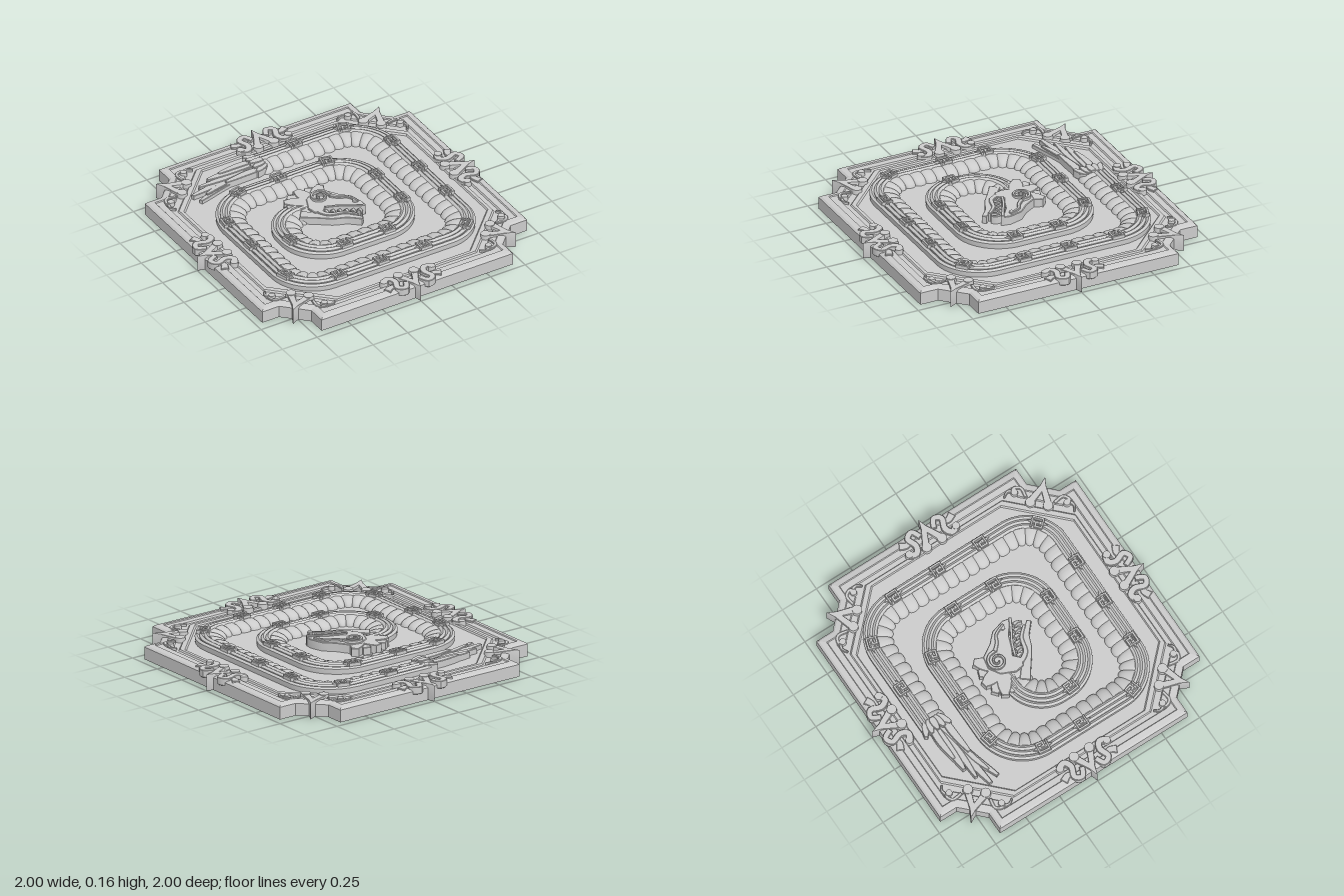
import * as THREE from 'three';
import { toCreasedNormals } from 'three/addons/utils/BufferGeometryUtils.js';

const stone = new THREE.MeshStandardMaterial({ color: 0xcccccc });
const flatStone = new THREE.MeshStandardMaterial({ color: 0xcccccc, flatShading: true });

function add(parent, geometry, name, material = stone) {
  const mesh = new THREE.Mesh(geometry, material);
  mesh.name = name;
  parent.add(mesh);
  return mesh;
}

// Skin between equal closed rings of points
function loft(rings) {
  const n = rings[0].length, pos = [], index = [];
  rings.forEach(r => r.forEach(p => pos.push(...p)));
  for (let i = 0; i < rings.length - 1; i++) for (let j = 0; j < n; j++) {
    const a = i * n + j, b = i * n + (j + 1) % n;
    index.push(a, b, b + n, a, b + n, a + n);
  }
  const g = new THREE.BufferGeometry();
  g.setAttribute('position', new THREE.Float32BufferAttribute(pos, 3));
  g.setIndex(index);
  g.computeVertexNormals();
  return g;
}

// Flat relief piece: an outline of [x, z] points raised from y0 to y1
function slab(pts, y0, y1, bevel = 0.004) {
  const shape = new THREE.Shape(pts.map(([x, z]) => new THREE.Vector2(x, -z)));
  const g = new THREE.ExtrudeGeometry(shape, {
    depth: y1 - y0 - 2 * bevel, bevelEnabled: true, bevelThickness: bevel,
    bevelSize: bevel, bevelOffset: -bevel, bevelSegments: 1,
  });
  g.rotateX(-Math.PI / 2).translate(0, y0 + bevel, 0);
  return toCreasedNormals(g, 0.6);
}

const smooth = (pts, n) => new THREE.SplineCurve(pts.map(p => new THREE.Vector2(...p))).getPoints(n);

// Curved strip that follows points, with its width given along the way
function ribbon(pts, width, y0, y1, n = 20) {
  const c = smooth(pts, n), left = [], right = [];
  c.forEach((p, i) => {
    const t = c[Math.min(i + 1, n)].clone().sub(c[Math.max(i - 1, 0)]).normalize();
    const w = width(i / n) / 2;
    left.push([p.x - t.y * w, p.y + t.x * w]);
    right.unshift([p.x + t.y * w, p.y - t.x * w]);
  });
  return slab(left.concat(right), y0, y1, 0.003);
}
const taper = (a, b) => t => a + (b - a) * t;
const leaf = w => t => w * (0.3 + 0.7 * Math.sin(Math.PI * Math.min(0.93, 0.15 + t * 0.8)));

const disc = (x, z, r, y0, y1) =>
  new THREE.CylinderGeometry(r * 0.85, r, y1 - y0, 20).translate(x, (y0 + y1) / 2, z);

// Square ring with notched corners: side a, notch n, diagonal d
function plateRing(a, n, d, y) {
  const ring = [];
  let q = [[n, a], [n, d - n], [d - n, n], [a, n]];
  for (let k = 0; k < 4; k++) {
    q.forEach(([x, z]) => ring.push([x, y, z]));
    q = q.map(([x, z]) => [z, -x]);
  }
  return ring;
}

function buildPlate(group) {
  const notched = (o, y) => plateRing(0.955 - o, 0.69 - o, 1.525 - o * Math.SQRT2, y);
  const octagon = (a, y) => plateRing(a, a - 0.325, 2 * a - 0.325, y);
  add(group, loft([
    plateRing(0, 0, 0, 0.07), notched(0.02, 0.07), notched(0.02, 0), notched(0, 0),
    notched(0, 0.08), notched(0.012, 0.09), notched(0.045, 0.096), notched(0.05, 0.09),
    notched(0.09, 0.09), notched(0.096, 0.08),
    octagon(0.83, 0.08), octagon(0.824, 0.09), octagon(0.803, 0.09), octagon(0.797, 0.08),
    plateRing(0, 0, 0, 0.08),
  ]), 'basePlate', flatStone);
}

// Spiral centre line with rounded corners
function spiralPoints(count) {
  const c = [[-0.17, -0.655], [0.61, -0.655], [0.61, 0.61], [-0.625, 0.61], [-0.625, -0.39],
    [0.34, -0.39], [0.34, 0.34], [-0.39, 0.34], [-0.39, -0.07], [-0.13, -0.07]]
    .map(p => new THREE.Vector2(...p));
  const radius = [0, 0.22, 0.2, 0.2, 0.24, 0.2, 0.2, 0.19, 0.17];
  const path = new THREE.Path().moveTo(c[0].x, c[0].y);
  for (let i = 1; i < c.length - 1; i++) {
    const to = (q, r) => c[i].clone().add(q.clone().sub(c[i]).setLength(r));
    const r = radius[i], a = to(c[i - 1], r), b = to(c[i + 1], r);
    const h = to(c[i - 1], r * 0.45), k = to(c[i + 1], r * 0.45);
    path.lineTo(a.x, a.y);
    path.bezierCurveTo(h.x, h.y, k.x, k.y, b.x, b.y);
  }
  path.lineTo(c.at(-1).x, c.at(-1).y);
  return path.getSpacedPoints(count);
}

function buildCoil(group) {
  const N = 720, pts = spiralPoints(N);
  const tangent = i => pts[Math.min(i + 1, N)].clone().sub(pts[Math.max(i - 1, 0)]).normalize();
  // Three cords on the outer half, plump belly scales on the inner half
  const section = k => {
    const s = [[0.09, 0.07], [0.094, 0.112]];
    [0.114, 0.122, 0.124].forEach((base, c) => {
      for (let j = 0; j <= 4; j++)
        s.push([0.094 - 0.029 * (c + j / 4), base + 0.011 * Math.sin(Math.PI * j / 4)]);
    });
    for (let j = 0; j <= 6; j++) {
      const a = j / 6 * Math.PI / 2;
      s.push([0.004 - 0.098 * k * Math.sin(a), 0.078 + 0.05 * k * Math.cos(a)]);
    }
    s.push([-0.07, 0.07]);
    return s;
  };
  const rings = pts.map((p, i) => {
    const t = tangent(i), k = 0.82 + 0.18 * Math.sqrt(Math.abs(Math.sin(Math.PI * i / 8)));
    return section(k).map(([u, y]) => [p.x + t.y * u, y, p.y - t.x * u]);
  });
  const cap = p => rings[0].map(() => [p.x, 0.1, p.y]);
  add(group, toCreasedNormals(loft([cap(pts[0]), ...rings, cap(pts[N])]), 0.6), 'coiledBody');

  // Square-hook bands clasped over the cords
  const hook = slab([[-0.04, -0.037], [0.04, -0.037], [0.04, 0.037], [-0.015, 0.037], [-0.015, -0.005],
    [0.012, -0.005], [0.012, 0.01], [0, 0.01], [0, 0.022], [0.027, 0.022], [0.027, -0.022],
    [-0.027, -0.022], [-0.027, 0.037], [-0.04, 0.037]], 0.11, 0.146, 0.002);
  const tab = slab([[-0.066, 0], [-0.04, -0.012], [0.04, -0.012], [0.066, 0], [0.04, 0.01], [-0.04, 0.01]], 0.11, 0.14, 0.002);
  const spots = [[0.13, -0.7], [0.47, -0.67], [0.65, -0.41], [0.66, -0.09], [0.66, 0.23], [0.55, 0.57],
    [0.23, 0.65], [-0.08, 0.65], [-0.38, 0.65], [-0.67, 0.48], [-0.68, 0.1], [-0.68, -0.19], [-0.44, -0.43],
    [-0.15, -0.43], [0.2, -0.43], [0.39, -0.15], [0.39, 0.15], [0.13, 0.39], [-0.17, 0.39], [-0.44, 0.18]];
  spots.forEach(([x, z]) => {
    const spot = new THREE.Vector2(x, z);
    let best = 0;
    pts.forEach((p, i) => { if (p.distanceTo(spot) < pts[best].distanceTo(spot)) best = i; });
    const t = tangent(best), band = new THREE.Group();
    band.name = 'bodyBand';
    band.position.set(pts[best].x + t.y * 0.046, 0, pts[best].y - t.x * 0.046);
    band.rotation.y = Math.atan2(-t.y, t.x);
    add(band, hook, 'bandHook');
    add(band, tab, 'bandTab');
    group.add(band);
  });
}

function buildTail(group) {
  // Long plumes, each a base, bend and tip
  [[[-0.17, -0.6], [-0.4, -0.59], [-0.66, -0.51], 0.05, 0.105],
    [[-0.17, -0.62], [-0.42, -0.61], [-0.68, -0.575], 0.055, 0.11],
    [[-0.2, -0.66], [-0.4, -0.63], [-0.6, -0.63], 0.045, 0.115],
    [[-0.17, -0.66], [-0.38, -0.665], [-0.52, -0.665], 0.05, 0.12],
    [[-0.15, -0.68], [-0.28, -0.69], [-0.43, -0.68], 0.045, 0.125],
    [[-0.15, -0.59], [-0.28, -0.59], [-0.44, -0.575], 0.05, 0.125],
    [[-0.35, -0.6], [-0.5, -0.57], [-0.6, -0.54], 0.035, 0.115]]
    .forEach(([a, b, c, w, y]) => add(group, ribbon([a, b, c], leaf(w), 0.07, y), 'tailPlume'));
  // Ruffle where the plumes leave the body
  for (let i = 0; i < 5; i++) {
    const z = -0.72 + i * 0.032, s = i - 2;
    add(group, ribbon([[-0.13, -0.655 + s * 0.02], [-0.17, z], [-0.22, z + s * 0.013]], leaf(0.045), 0.08, 0.142 - Math.abs(s) * 0.006), 'tailRuffle');
  }
}

function buildHead(group) {
  // Feather crest fanned behind the brow
  [[-0.27, -0.13], [-0.26, -0.19], [-0.21, -0.235], [-0.13, -0.265], [-0.05, -0.25], [0.03, -0.235]]
    .forEach(([x, z], i) => add(group, ribbon([[-0.1, -0.09], [(x - 0.1) / 2, (z - 0.1) / 2], [x, z]], t => 0.03 + 0.06 * Math.sin(Math.PI * Math.min(0.9, t)), 0.06, 0.128 + (i % 2) * 0.006), 'crestFeather'));
  add(group, slab([[-0.17, -0.05], [-0.13, -0.14], [-0.06, -0.185], [0.02, -0.17], [0.07, -0.09], [0.13, -0.03],
    [0.155, 0.06], [0.145, 0.11], [0.11, 0.085], [0.05, 0.04], [-0.02, 0.015], [-0.07, -0.01], [-0.11, 0.03], [-0.16, 0.01]], 0.055, 0.138), 'upperJaw');
  add(group, ribbon([[-0.24, -0.03], [-0.16, 0.03], [-0.08, 0.095], [0, 0.135], [0.07, 0.2]], taper(0.07, 0.03), 0.055, 0.13), 'lowerJaw');
  add(group, ribbon([[-0.13, 0.01], [-0.09, 0.07], [0, 0.1], [0.06, 0.16]], taper(0.035, 0.018), 0.06, 0.138), 'lowerLip');
  add(group, ribbon([[-0.08, 0], [0, 0.03], [0.07, 0.07], [0.145, 0.11]], taper(0.018, 0.02), 0.06, 0.147), 'upperLip');
  // Curled eye running into the snout ridge
  const curl = [];
  for (let i = 0; i <= 14; i++) {
    const a = 0.3 - i / 14 * Math.PI * 3.4, r = 0.065 - 0.055 * i / 14;
    curl.push([-0.05 + r * Math.cos(a), -0.11 + r * Math.sin(a)]);
  }
  add(group, ribbon(curl, taper(0.02, 0.01), 0.12, 0.155, 60), 'eyeCurl');
  add(group, ribbon([[0.01, -0.09], [0.05, -0.05], [0.1, -0.02], [0.13, 0.05]], taper(0.025, 0.015), 0.12, 0.15), 'snoutRidge');
  add(group, disc(0.115, 0.035, 0.018, 0.12, 0.148), 'nostril');
  // Teeth hanging from the upper lip
  for (let i = 0; i < 6; i++) {
    const x = -0.085 + i * 0.037, z = 0.01 + i * 0.019;
    add(group, ribbon([[x, z], [x + 0.002, z + 0.03], [x - 0.012, z + 0.055]], taper(0.028, 0.008), 0.06, 0.132, 8), 'tooth');
  }
}

// Forked spike shared by the side and corner ornaments
function buildSpike(group) {
  add(group, slab([[0, -1], [0.02, -0.94], [0.078, -0.835], [0.04, -0.81], [0, -0.9], [-0.04, -0.81],
    [-0.078, -0.835], [-0.02, -0.94]], 0, 0.106, 0.002), 'forkedSpike');
  for (const s of [-1, 1]) add(group, disc(s * 0.056, -0.82, 0.036, 0.045, 0.11), 'spikeKnob');
}

function buildOrnaments(group) {
  for (let k = 0; k < 4; k++) {
    const side = new THREE.Group(), corner = new THREE.Group();
    side.name = 'sideOrnament';
    corner.name = 'cornerOrnament';
    buildSpike(side);
    buildSpike(corner);
    for (const s of [-1, 1]) {
      const m = pts => pts.map(([x, z]) => [s * x, z]);
      add(side, ribbon(m([[0.05, -0.9], [0.08, -0.955], [0.125, -0.93], [0.105, -0.865], [0.13, -0.82], [0.175, -0.835]]), taper(0.035, 0.045), 0.06, 0.108), 'sideScroll');
      add(side, ribbon(m([[0.11, -0.925], [0.15, -0.9], [0.195, -0.92]]), taper(0.03, 0.05), 0.065, 0.102), 'scrollWing');
      add(side, disc(s * 0.172, -0.84, 0.028, 0.06, 0.112), 'scrollKnob');
      add(corner, ribbon(m([[0.09, -0.85], [0.13, -0.9], [0.175, -0.89], [0.17, -0.855]]), taper(0.02, 0.022), 0.075, 0.1), 'cornerCurl');
      add(corner, ribbon(m([[0.17, -0.88], [0.21, -0.86], [0.22, -0.82]]), taper(0.024, 0.01), 0.075, 0.097), 'cornerTendril');
      add(corner, disc(s * 0.165, -0.865, 0.024, 0.075, 0.106), 'curlKnob');
    }
    side.rotation.y = k * Math.PI / 2;
    corner.rotation.y = (k + 0.5) * Math.PI / 2;
    corner.children.forEach(c => { c.position.z = -0.138; });
    group.add(side, corner);
  }
}

export function createModel() {
  const model = new THREE.Group();
  model.name = 'serpentRelief';
  const parts = { plate: buildPlate, coil: buildCoil, tail: buildTail, head: buildHead, ornaments: buildOrnaments };
  for (const [name, build] of Object.entries(parts)) {
    const part = new THREE.Group();
    part.name = name;
    build(part);
    model.add(part);
  }
  return model;
}
